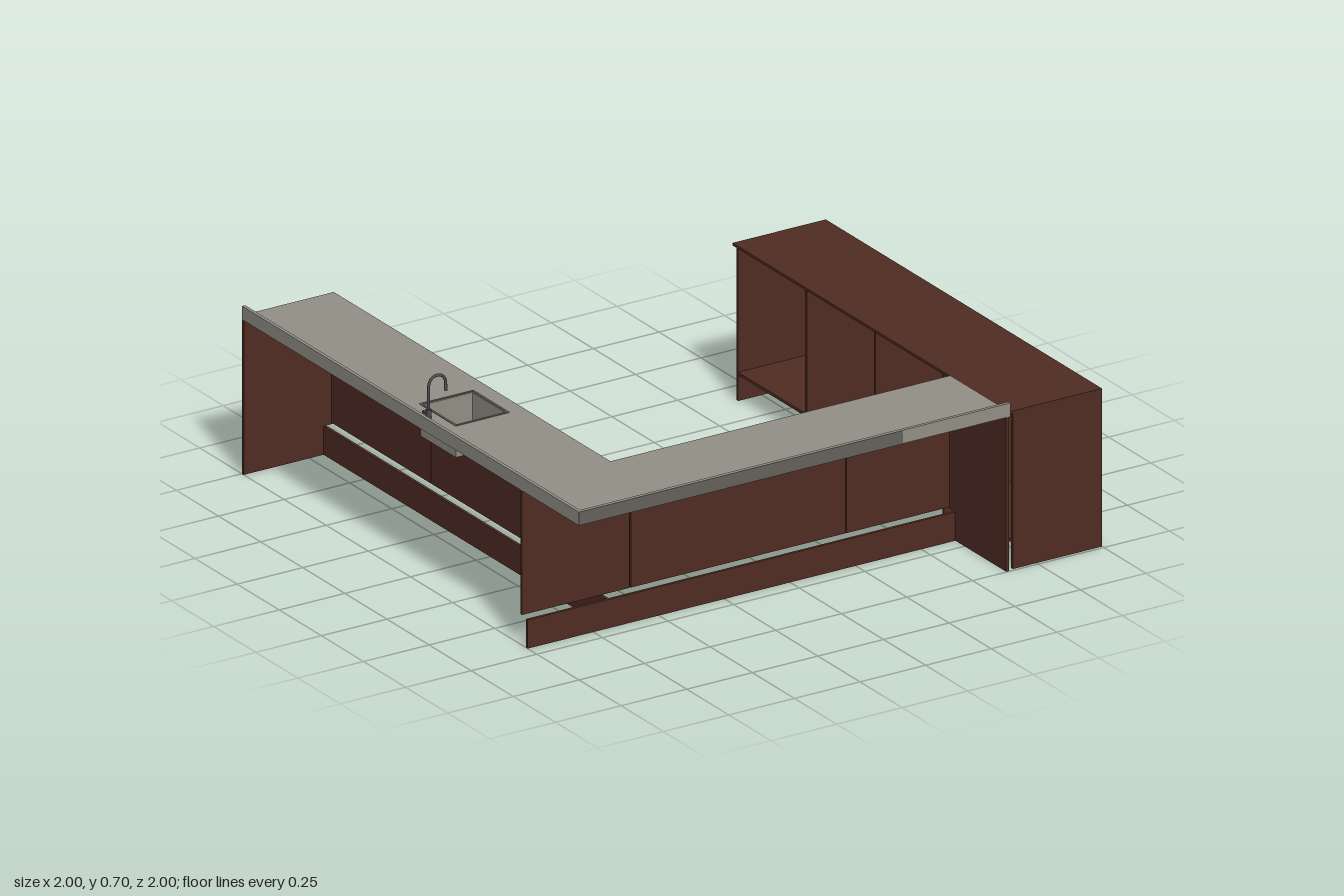
import * as THREE from 'three';

const mat = (name, color) => {
  const m = new THREE.MeshStandardMaterial({ color });
  m.name = name;
  return m;
};

export function createModel() {
  const wood = mat('dark wood', 0x502c23);
  const stone = mat('worktop grey', 0x938f86);
  const edge = mat('dark grey', 0x64625c);
  const metal = mat('tap metal', 0x4a4c4e);
  const model = new THREE.Group();

  const add = (parent, name, geometry, material) => {
    const mesh = new THREE.Mesh(geometry, material);
    mesh.name = name;
    parent.add(mesh);
    return mesh;
  };
  // Box given by its limits on each axis
  const box = (parent, name, material, [x0, x1], [y0, y1], [z0, z1]) => {
    const g = new THREE.BoxGeometry(x1 - x0, y1 - y0, z1 - z0);
    g.translate((x0 + x1) / 2, (y0 + y1) / 2, (z0 + z1) / 2);
    return add(parent, name, g, material);
  };
  const group = (name) => {
    const g = new THREE.Group();
    g.name = name;
    model.add(g);
    return g;
  };
  const polygon = (C, pts) => new C(pts.map(([x, y]) => new THREE.Vector2(x, y)));

  const under = 0.538, top = 0.553, lip = 0.585, kick = 0.105;

  // L-shaped worktop with the sink cut-out
  const counter = group('worktop');
  const outline = polygon(THREE.Shape, [[-1, -1], [-0.65, -1], [-0.65, 0.642], [0.645, 0.642], [0.645, 0.998], [-1, 0.998]]);
  const sx = [-0.91, -0.71], sz = [-0.08, 0.13];
  outline.holes.push(polygon(THREE.Path, [[sx[0], sz[0]], [sx[0], sz[1]], [sx[1], sz[1]], [sx[1], sz[0]]]));
  const slab = new THREE.ExtrudeGeometry(outline, { depth: top - under, bevelEnabled: false });
  slab.rotateX(Math.PI / 2).translate(0, top, 0);
  add(counter, 'slab', slab, stone);
  box(counter, 'sideUpstand', stone, [-1, -0.988], [top, lip], [-1, 0.998]);
  box(counter, 'frontUpstand', stone, [-0.988, 0.645], [top, lip], [0.986, 0.998]);
  box(counter, 'upstandFacing', edge, [-1, 0.235], [under, lip], [0.998, 1]);

  // Sink basin: rim, walls, floor and drain
  const sink = group('sink');
  const t = 0.008, floor = 0.45;
  const ring = (name, grow, y0, y1, m) => {
    const [a, b] = [sx[0] - grow, sx[1] + grow], [c, d] = [sz[0] - grow, sz[1] + grow];
    box(sink, name, m, [a, a + t], [y0, y1], [c, d]);
    box(sink, name, m, [b - t, b], [y0, y1], [c, d]);
    box(sink, name, m, [a + t, b - t], [y0, y1], [c, c + t]);
    box(sink, name, m, [a + t, b - t], [y0, y1], [d - t, d]);
  };
  ring('rim', 0.003, top, top + 0.002, edge);
  ring('basinWall', 0, floor, top - 0.001, stone);
  box(sink, 'basinFloor', stone, sx, [floor - 0.008, floor], sz);
  const drain = new THREE.CylinderGeometry(0.019, 0.019, 0.004, 24);
  add(sink, 'drain', drain, edge).position.set(-0.81, floor + 0.002, 0.025);

  // Gooseneck tap with side lever
  const tap = group('tap');
  const neck = new THREE.CurvePath();
  const v = (x, y) => new THREE.Vector3(x, y, 0.03);
  neck.add(new THREE.LineCurve3(v(-0.95, top), v(-0.95, 0.66)));
  neck.add(new THREE.CubicBezierCurve3(v(-0.95, 0.66), v(-0.95, 0.707), v(-0.885, 0.707), v(-0.885, 0.66)));
  neck.add(new THREE.LineCurve3(v(-0.885, 0.66), v(-0.885, 0.64)));
  add(tap, 'spout', new THREE.TubeGeometry(neck, 48, 0.005, 10), metal);
  add(tap, 'spoutTip', new THREE.CylinderGeometry(0.006, 0.006, 0.02, 12), metal).position.set(-0.885, 0.645, 0.03);
  add(tap, 'base', new THREE.CylinderGeometry(0.009, 0.009, 0.03, 16), metal).position.set(-0.95, top + 0.015, 0.03);
  box(tap, 'lever', metal, [-0.96, -0.942], [top + 0.012, top + 0.02], [0.006, 0.03]);

  // Door panels and plinths below both arms of the worktop
  const units = group('baseUnits');
  for (const [a, b] of [[-1, -0.591], [-0.585, 0.233], [0.236, 0.629]])
    box(units, 'frontDoor', wood, [a, b], [kick, under], [0.652, 0.662]);
  for (const [a, b] of [[-0.989, -0.4], [-0.397, 0.218], [0.221, 0.651]])
    box(units, 'sideDoor', wood, [-0.666, -0.656], [kick, under], [a, b]);
  box(units, 'frontPlinth', wood, [-1, 0.629], [0, 0.1], [0.686, 0.696]);
  box(units, 'sidePlinth', wood, [-0.696, -0.686], [0, 0.1], [-0.989, 0.686]);

  // End panels with a toe-kick notch, drawn as depth against height
  const endShape = polygon(THREE.Shape, [[0, 0], [0.315, 0], [0.315, 0.1], [0.345, 0.1], [0.345, under], [0, under]]);
  const endPanel = () => new THREE.ExtrudeGeometry(endShape, { depth: 0.01, bevelEnabled: false });
  add(units, 'sideEndPanel', endPanel(), wood).position.set(-1, 0, -0.999);
  const frontEnd = add(units, 'frontEndPanel', endPanel(), wood);
  frontEnd.rotation.y = Math.PI / 2;
  frontEnd.position.set(0.63, 0, 0.997);

  // Island: solid outer side, open bays facing inwards
  const island = group('island');
  const h = 0.542;
  box(island, 'islandTop', wood, [0.645, 1], [h, 0.551], [-0.65, 0.99]);
  box(island, 'islandBack', wood, [0.99, 1], [0, h], [-0.65, 0.99]);
  const bays = 4, z0 = -0.65, pitch = (1.64 - 0.01) / bays;
  for (let i = 0; i <= bays; i++) {
    const z = z0 + i * pitch;
    box(island, 'partition', wood, [0.66, 0.99], [0, h], [z, z + 0.01]);
    if (i < bays) box(island, 'bayFloor', wood, [0.66, 0.99], [0.09, 0.1], [z + 0.01, z + pitch]);
  }
  return model;
}
